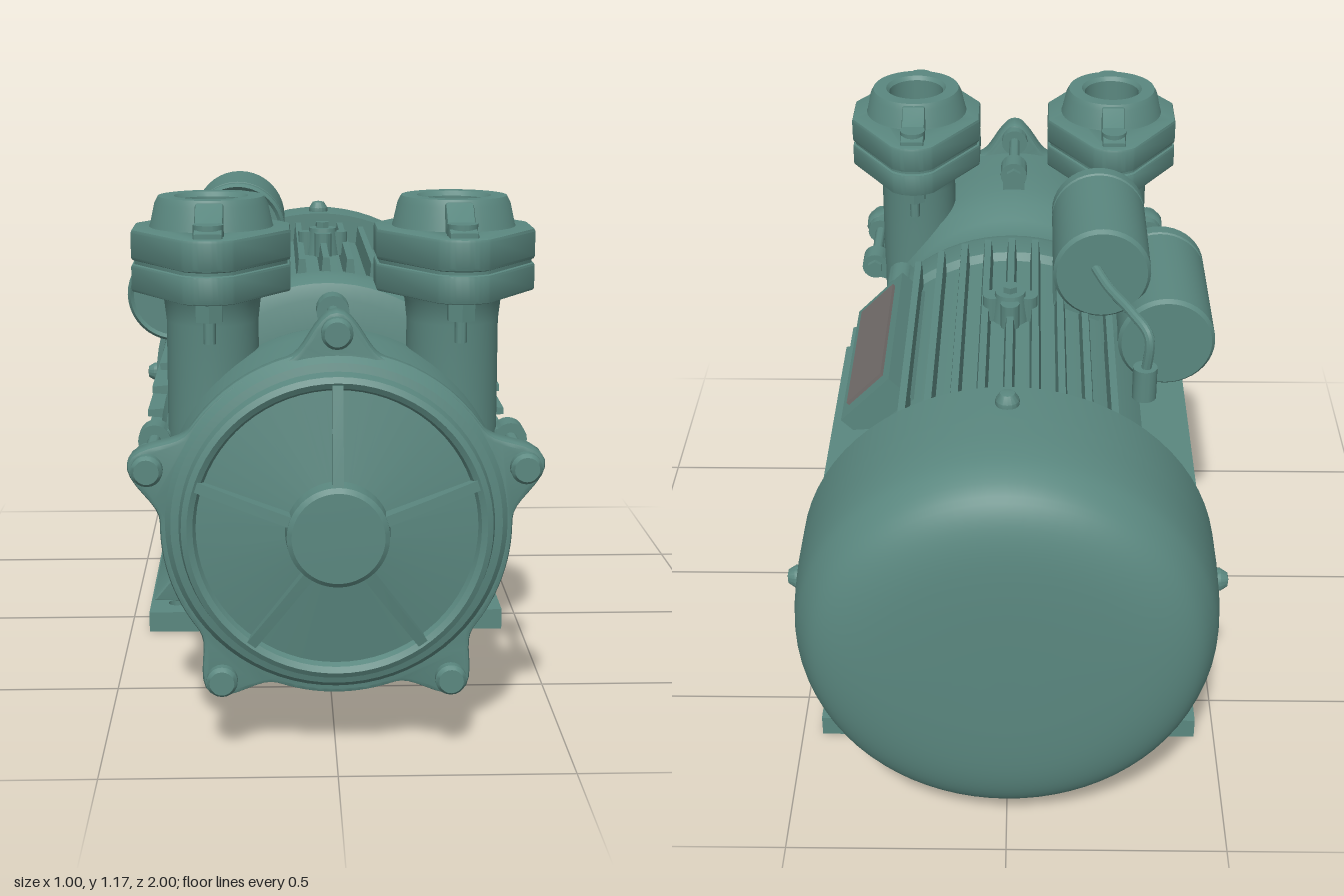
import * as THREE from 'three';
import { toCreasedNormals } from 'three/addons/utils/BufferGeometryUtils.js';

export function createModel() {
  const model = new THREE.Group();
  const paint = new THREE.MeshStandardMaterial({ color: 0x5a877f });
  paint.name = 'green enamel';
  const metal = new THREE.MeshStandardMaterial({ color: 0x736d6b });
  metal.name = 'dull grey';
  const AX = 0.515; // height of the shaft axis

  const add = (name, geo, x = 0, y = 0, z = 0, mat = paint, parent = model) => {
    const m = new THREE.Mesh(toCreasedNormals(geo, 0.6), mat);
    m.name = name;
    m.position.set(x, y, z);
    parent.add(m);
    return m;
  };
  const box = (w, h, d) => new THREE.BoxGeometry(w, h, d);
  const cylY = (r, h, n = 20, r2 = r) => new THREE.CylinderGeometry(r2, r, h, n);
  const cylZ = (r, l, n = 20, r2 = r) => cylY(r, l, n, r2).rotateX(Math.PI / 2);
  const latheY = (pts, n = 48) => new THREE.LatheGeometry(pts.map(p => new THREE.Vector2(...p)), n);
  const latheZ = (pts, n = 72) => latheY(pts, n).rotateX(Math.PI / 2);
  const poly = pts => new THREE.Shape(pts.map(p => new THREE.Vector2(...p)));
  const circleHole = (s, x, y, r, ry = r) =>
    s.holes.push(new THREE.Path().absellipse(x, y, r, ry, 0, Math.PI * 2));
  const extrude = (shape, depth, bevel = 0) => new THREE.ExtrudeGeometry(shape, {
    depth: depth - 2 * bevel, bevelEnabled: bevel > 0, bevelSize: bevel, bevelThickness: bevel,
    bevelOffset: -bevel, bevelSegments: 2, curveSegments: 20,
  }).translate(0, 0, bevel);
  // flat plate: shape y becomes z, thickness rises from y = 0
  const plate = (shape, h, bevel) => extrude(shape, h, bevel).rotateX(Math.PI / 2).translate(0, h, 0);

  // Rear fan cowl with rounded back
  const cowl = new THREE.SplineCurve([[0, -1], [0.2, -0.998], [0.33, -0.985], [0.41, -0.95], [0.45, -0.89],
    [0.465, -0.82], [0.47, -0.72]].map(p => new THREE.Vector2(...p))).getPoints(30).map(p => [p.x, p.y]);
  add('fanCowl', latheZ([...cowl, [0.47, -0.605], [0.455, -0.605], [0.455, -0.625], [0.36, -0.625]]), 0, 0.52);
  for (let i = 0; i < 4; i++) {
    const a = i * Math.PI / 2;
    const screw = add('cowlScrew', latheY([[0.026, 0], [0.026, 0.012], [0.016, 0.028], [0, 0.031]], 16),
      0.468 * Math.sin(a), 0.52 + 0.468 * Math.cos(a), -0.67);
    screw.rotation.z = -a;
  }

  // Motor barrel and front end shield
  add('motorBarrel', cylZ(0.395, 0.8, 72), 0, 0.52, -0.23);
  add('endShield', latheZ([[0.38, 0.1], [0.408, 0.12], [0.408, 0.2], [0.395, 0.235], [0.36, 0.25],
    [0.25, 0.255], [0, 0.255]]), 0, 0.525);
  for (const a of [45, 135, 225, 315]) {
    const t = a * Math.PI / 180;
    add('shieldLug', cylZ(0.035, 0.09), 0.405 * Math.cos(t), 0.525 + 0.405 * Math.sin(t), 0.18);
    add('shieldBolt', cylZ(0.02, 0.02, 6), 0.405 * Math.cos(t), 0.525 + 0.405 * Math.sin(t), 0.23);
  }

  // Parallel cooling fins on all four sides
  const fin = (x0, x1) => extrude(poly([[x0, -0.014], [x1, -0.008], [x1, 0.008], [x0, 0.014]]), 0.74);
  for (let q = 0; q < 4; q++) {
    const side = new THREE.Group();
    side.name = 'coolingFins';
    side.position.set(0, 0.52, -0.61);
    side.rotation.z = q * Math.PI / 2;
    for (let i = -4; i <= 4; i++) {
      const d = i * 0.059;
      add('fin', fin(Math.sqrt(0.385 ** 2 - d * d), Math.sqrt(0.447 ** 2 - d * d)), 0, d, 0, paint, side);
    }
    model.add(side);
  }

  // Diagonal pads with the data plate
  for (const s of [1, -1]) {
    const pad = new THREE.Group();
    pad.name = 'shoulderPad';
    pad.position.set(0, 0.52, -0.19);
    pad.rotation.z = s > 0 ? Math.PI / 4 : Math.PI * 3 / 4;
    add('padBlock', box(0.1, 0.16, s > 0 ? 0.5 : 0.34), s > 0 ? 0.415 : 0.39, 0, s > 0 ? 0 : 0.17, paint, pad);
    if (s > 0) add('dataPlate', box(0.008, 0.115, 0.42), 0.469, 0, 0, metal, pad);
    model.add(pad);
  }
  add('undersidePlate', box(0.2, 0.008, 0.3), 0, 0.083, -0.42, metal);

  // Lifting boss on top
  for (let i = 0; i < 4; i++) {
    const a = i * Math.PI / 2;
    add('liftingBossLobe', cylY(0.022, 0.06), 0.042 * Math.cos(a), 0.96, -0.2 + 0.042 * Math.sin(a));
  }
  add('liftingBoss', cylY(0.045, 0.07, 24, 0.035), 0, 0.965, -0.2);
  add('liftingBolt', cylY(0.018, 0.03, 6), 0, 1, -0.2);

  // Capacitor cans, saddles and cable
  for (const [x, y, z, l] of [[-0.37, 0.88, -0.04, 0.39], [-0.215, 1.035, -0.01, 0.35]]) {
    const h = l / 2;
    add('capacitorCan', latheZ([[0, -h], [0.107, -h], [0.115, -h + 0.01], [0.115, h - 0.055], [0.111, h - 0.052],
      [0.111, h - 0.045], [0.115, h - 0.042], [0.115, h - 0.01], [0.108, h], [0.1, h - 0.008], [0, h - 0.008]], 40), x, y, z);
    const saddle = add('capacitorSaddle', box(0.1, 0.12, 0.22), x * 0.82, 0.52 + (y - 0.52) * 0.82, z);
    saddle.rotation.z = Math.atan2(y - 0.52, x);
  }
  const cable = new THREE.CatmullRomCurve3([[-0.2, 1.05, -0.18], [-0.23, 1.035, -0.25], [-0.28, 1.02, -0.34],
    [-0.315, 0.99, -0.39], [-0.31, 0.88, -0.39]].map(p => new THREE.Vector3(...p)));
  add('cable', new THREE.TubeGeometry(cable, 30, 0.012, 10));
  add('cableGland', cylY(0.028, 0.08), -0.31, 0.87, -0.39);

  // Feet with bolt holes, and their pedestals
  for (const s of [1, -1]) {
    const base = poly([[0.275, -0.63], [0.452, -0.63], [0.452, 0.115], [0.275, 0.115]].map(([x, z]) => [x * s, z]));
    for (const z of [0.04, -0.555]) circleHole(base, 0.385 * s, z, 0.022);
    add('footPlate', plate(base, 0.052));
    const leg = poly([[0.275, 0.04], [0.45, 0.05], [0.34, 0.19], [0.35, 0.3], [0.2, 0.24], [0.2, 0.17],
      [0.255, 0.135], [0.275, 0.1]].map(([x, y]) => [x * s, y]));
    add('footPedestal', extrude(leg, 0.47, 0.008), 0, 0, -0.45);
  }

  // Open neck between motor and pump
  const neck = new THREE.Shape();
  neck.moveTo(-0.37, 0.23);
  neck.lineTo(0.37, 0.23);
  neck.bezierCurveTo(0.29, 0.27, 0.24, 0.38, 0.31, 0.43);
  neck.lineTo(-0.31, 0.43);
  neck.bezierCurveTo(-0.24, 0.38, -0.29, 0.27, -0.37, 0.23);
  for (const s of [1, -1]) circleHole(neck, 0.173 * s, 0.318, 0.068, 0.07);
  add('neckBridge', plate(neck, 0.21, 0.015), 0, 0.41);

  // Pump casing
  add('pumpCasing', latheZ([[0, 0.39], [0.3, 0.39], [0.312, 0.4], [0.312, 0.45], [0.325, 0.48], [0.35, 0.53],
    [0.362, 0.6], [0.366, 0.7], [0.362, 0.84], [0, 0.84]]), 0, AX);

  // Five-lobed cover flange
  const lobed = [];
  for (let i = 0; i < 180; i++) {
    const t = i / 180 * Math.PI * 2;
    const r = 0.368 + 0.087 * Math.max(0, Math.cos(5 * (t - Math.PI / 2))) ** 3;
    lobed.push([r * Math.cos(t), r * Math.sin(t)]);
  }
  add('coverFlange', extrude(poly(lobed), 0.06, 0.01), 0, 0.508, 0.83);
  add('frontCover', latheZ([[0.365, 0.88], [0.345, 0.905], [0.328, 0.91], [0.322, 0.935], [0.31, 0.942],
    [0.298, 0.935], [0.292, 0.922], [0.108, 0.95], [0.105, 0.99], [0.095, 0.998], [0, 1]]), 0, AX);

  // Ribs, tie bolts and lugs around the cover
  const rib = [[0.09, 0.91], [0.305, 0.91], [0.305, 0.94], [0.2, 0.968], [0.09, 0.99]];
  for (let i = 0; i < 5; i++) {
    const t = Math.PI / 2 + i * Math.PI * 2 / 5;
    const spoke = extrude(poly(rib), 0.022).translate(0, 0, -0.011).rotateX(Math.PI / 2);
    add('coverRib', spoke, 0, AX).rotation.z = t;
    const x = 0.412 * Math.cos(t), y = 0.508 + 0.412 * Math.sin(t);
    add('boltHead', latheZ([[0.033, 0.88], [0.033, 0.908], [0.026, 0.918], [0, 0.918]], 20), x, y);
    add('tieBolt', cylZ(0.015, 0.25, 14), x, y, 0.72);
    add('lugFront', cylZ(0.036, 0.04), x, y, 0.825);
    add('lugRear', cylZ(0.036, 0.06), x, y, 0.62);
    add('lugRoot', box(0.1, 0.06, 0.05), 0.36 * Math.cos(t), 0.508 + 0.36 * Math.sin(t), 0.62).rotation.z = t;
    add('tieNut', cylZ(0.022, 0.02, 6), x, y, 0.585);
  }

  // Two upright ports with diamond flanges
  const diamond = (k, hole) => {
    const s = new THREE.Shape();
    const pts = [[0.17, -0.06], [0.17, 0.06], [0.055, 0.235], [-0.055, 0.235], [-0.17, 0.06], [-0.17, -0.06],
      [-0.055, -0.235], [0.055, -0.235]].map(([x, y]) => new THREE.Vector2(x * k, y * k));
    s.moveTo(pts[0].x, pts[0].y);
    s.lineTo(pts[1].x, pts[1].y);
    s.lineTo(pts[2].x, pts[2].y);
    s.quadraticCurveTo(0, 0.275 * k, pts[3].x, pts[3].y);
    s.lineTo(pts[4].x, pts[4].y);
    s.lineTo(pts[5].x, pts[5].y);
    s.lineTo(pts[6].x, pts[6].y);
    s.quadraticCurveTo(0, -0.275 * k, pts[7].x, pts[7].y);
    s.closePath();
    if (hole) circleHole(s, 0, 0, 0.09);
    return s;
  };
  for (const s of [1, -1]) {
    const port = new THREE.Group();
    port.name = s > 0 ? 'leftPort' : 'rightPort';
    port.position.set(0.262 * s, 0, 0.61);
    add('portPipe', latheY([[0.1, 0.45], [0.101, 0.68], [0.1, 0.9], [0.105, 0.945], [0.125, 0.975]]), 0, 0, 0, paint, port);
    add('lowerFlange', plate(diamond(1), 0.06, 0.006), 0, 0.97, 0, paint, port);
    add('gasket', plate(diamond(0.96), 0.02), 0, 1.025, 0, paint, port);
    add('upperFlange', plate(diamond(1, true), 0.068, 0.008), 0, 1.037, 0, paint, port);
    add('portCollar', latheY([[0.14, 1.09], [0.132, 1.11], [0.122, 1.155], [0.114, 1.17], [0.08, 1.17],
      [0.072, 1.16], [0.072, 1.05], [0, 1.05]]), 0, 0, 0, paint, port);
    add('portBore', cylY(0.07, 0.006, 32), 0, 1.052, 0, metal, port);
    for (const e of [1, -1]) {
      const bridge = poly([[0.09, 1.09], [0.235, 1.09], [0.235, 1.115], [0.17, 1.13], [0.125, 1.165], [0.09, 1.165]]);
      add('flangeRib', extrude(bridge, 0.06, 0.006).translate(0, 0, -0.03), 0, 0, 0, paint, port)
        .rotation.y = -e * Math.PI / 2;
      add('flangeBoltHead', cylY(0.032, 0.04), 0, 1.11, 0.19 * e, paint, port);
      add('flangeNut', cylY(0.032, 0.045, 6), 0, 0.95, 0.185 * e, paint, port);
      add('flangeStud', cylY(0.013, 0.12, 12), 0, 0.94, 0.185 * e, paint, port);
    }
    model.add(port);
  }
  return model;
}
